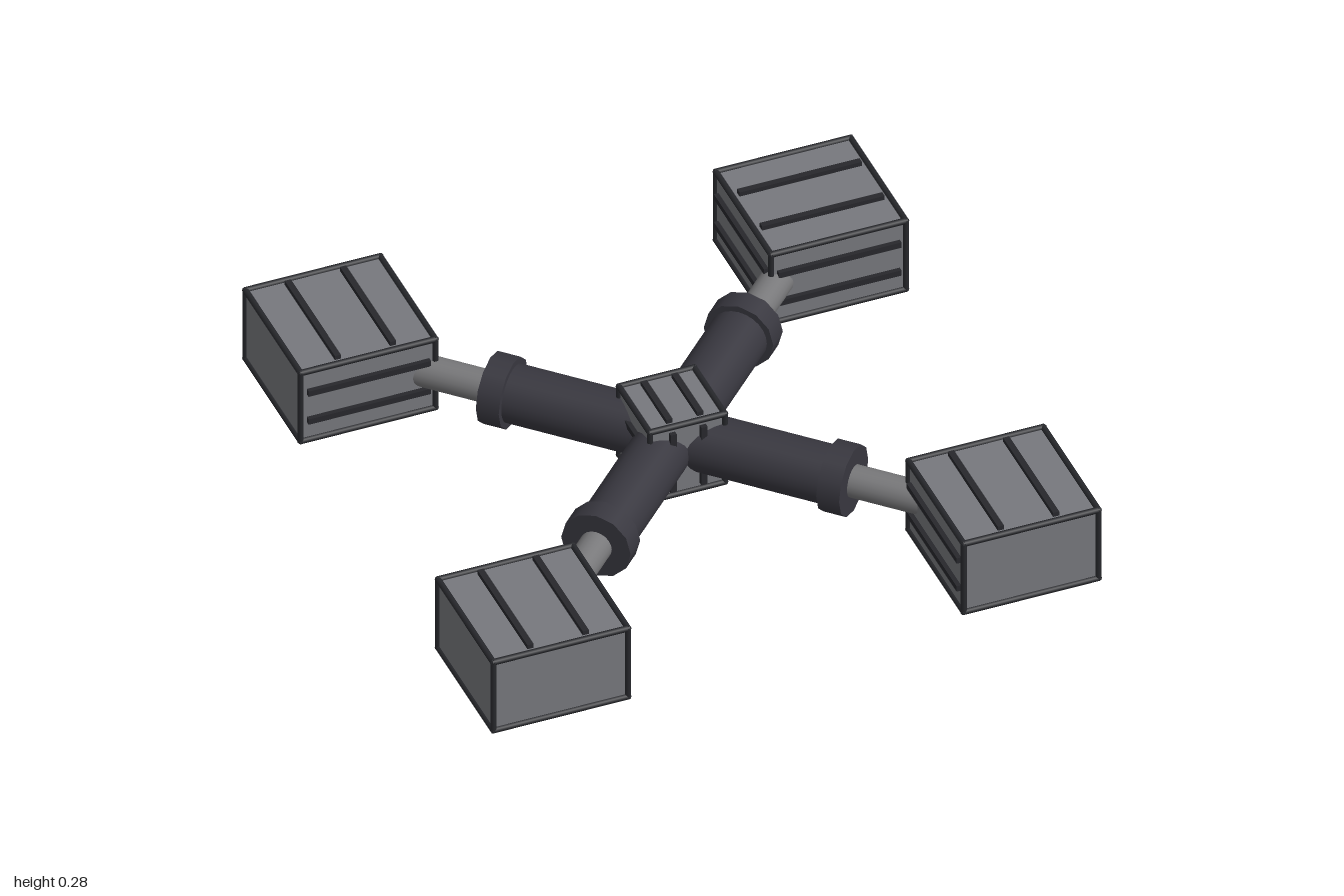
import * as THREE from 'three';

const mat = (name, color) => {
  const m = new THREE.MeshStandardMaterial({ color });
  m.name = name;
  return m;
};

export function createModel() {
  const panelGray = mat('panelGray', 0x77787d);
  const trimBlack = mat('trimBlack', 0x27282c);
  const armDark = mat('armDark', 0x38373f);
  const rodGray = mat('rodGray', 0x78787a);

  const MID = 0.14, R = 0.01, HEIGHT = 0.26;
  const model = new THREE.Group();
  model.name = 'crossFrame';

  const add = (parent, name, geometry, material, x = 0, y = 0, z = 0) => {
    const m = new THREE.Mesh(geometry, material);
    m.name = name;
    m.position.set(x, y, z);
    parent.add(m);
    return m;
  };

  // Box with rounded trim along its twelve edges; w is the width of the core
  function trimmedBox(name, w, x, z) {
    const g = new THREE.Group();
    g.name = name;
    g.position.set(x, MID, z);
    add(g, 'panels', new THREE.BoxGeometry(w, HEIGHT, w), panelGray);
    const h = [w / 2, HEIGHT / 2, w / 2];
    for (let axis = 0; axis < 3; axis++) {
      for (const a of [-1, 1]) for (const b of [-1, 1]) {
        const p = [0, 0, 0];
        p[(axis + 1) % 3] = a * h[(axis + 1) % 3];
        p[(axis + 2) % 3] = b * h[(axis + 2) % 3];
        const bar = add(g, 'edgeTrim', new THREE.CylinderGeometry(R, R, 2 * h[axis] + 0.008, 8), trimBlack, ...p);
        if (axis === 0) bar.rotation.z = Math.PI / 2;
        if (axis === 2) bar.rotation.x = Math.PI / 2;
      }
    }
    model.add(g);

    // Pair of raised strips: face normal axis, its sign, and the axis they run along
    return (normal, sign, along) => {
      const half = h;
      const across = 3 - normal - along;
      for (const s of [-1, 1]) {
        const size = [0, 0, 0], pos = [0, 0, 0];
        size[normal] = 0.03;
        size[along] = 2 * half[along] - 0.04;
        size[across] = 0.02;
        pos[normal] = sign * half[normal];
        pos[across] = s * half[across] * 0.41;
        add(g, 'strip', new THREE.BoxGeometry(...size), trimBlack, ...pos);
      }
    };
  }

  // Central hub
  const hubStrips = trimmedBox('hub', 0.245, 0, 0);
  hubStrips(1, 1, 2);
  hubStrips(2, 1, 1);
  hubStrips(2, -1, 0);
  hubStrips(0, 1, 2);
  hubStrips(0, -1, 2);

  for (const sx of [-1, 1]) for (const sz of [-1, 1]) {
    // Corner pod with strips on the top and the two inward faces
    const strips = trimmedBox('cornerPod', 0.44, sx * 0.768, sz * 0.768);
    strips(1, 1, sx > 0 && sz < 0 ? 0 : 2);
    strips(0, -sx, 2);
    strips(2, -sz, 0);

    // Telescoping diagonal arm, built along local +z
    const arm = new THREE.Group();
    arm.name = 'arm';
    arm.position.y = MID;
    arm.rotation.y = Math.atan2(sx, sz);
    const tube = (name, r, from, to, sides, material) => {
      const geo = new THREE.CylinderGeometry(r, r, to - from, sides).rotateX(Math.PI / 2);
      return add(arm, name, geo, material, 0, 0, (from + to) / 2);
    };
    tube('sleeve', 0.093, 0.02, 0.56, 24, armDark);
    tube('collar', 0.114, 0.52, 0.595, 12, armDark);
    tube('rod', 0.052, 0.5, 0.9, 20, rodGray);
    model.add(arm);
  }
  return model;
}
